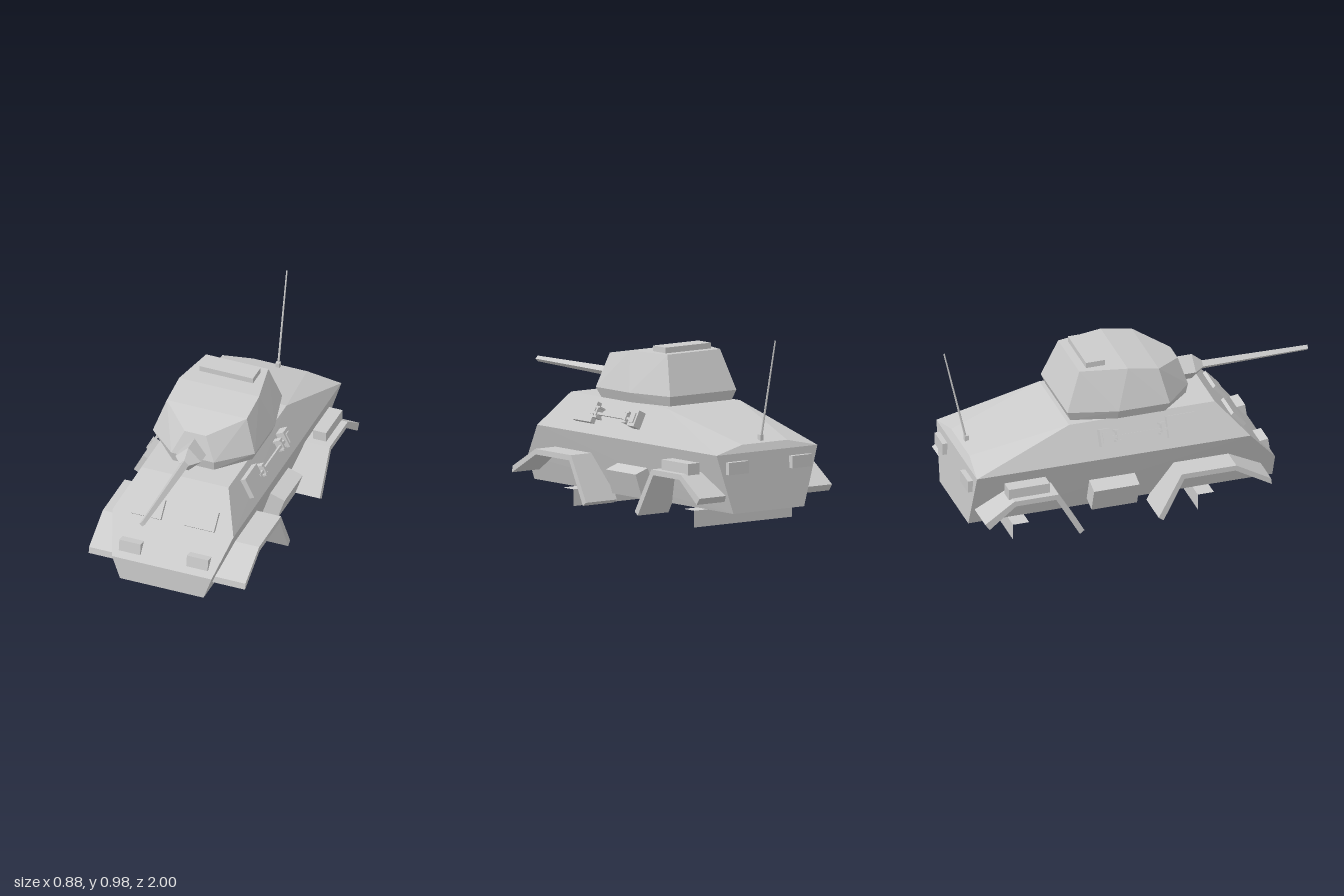
import * as THREE from 'three';
import { ConvexGeometry } from 'three/addons/geometries/ConvexGeometry.js';

const mat = new THREE.MeshStandardMaterial({ color: 0xcccccc, flatShading: true });

function add(parent, name, geometry, x = 0, y = 0, z = 0) {
  const mesh = new THREE.Mesh(geometry, mat);
  mesh.name = name;
  mesh.position.set(x, y, z);
  parent.add(mesh);
  return mesh;
}

const box = (w, h, d) => new THREE.BoxGeometry(w, h, d);

// Faceted armour shell from the corners of its left half, mirrored in x
function shell(corners) {
  const points = [];
  for (const [x, y, z] of corners) {
    points.push(new THREE.Vector3(x, y, z), new THREE.Vector3(-x, y, z));
  }
  return new ConvexGeometry(points);
}

// Four-sided tapering bar along z with its corners up, down, left and right
function diamondBar(rFront, rBack, z0, z1) {
  return new THREE.CylinderGeometry(rFront, rBack, z1 - z0, 4)
    .rotateX(Math.PI / 2).translate(0, 0, (z0 + z1) / 2);
}

// Bent fender plate: outline in (z, y), extruded across x
function fender(outline, width) {
  const shape = new THREE.Shape(outline.map(([z, y]) => new THREE.Vector2(z, y)));
  return new THREE.ExtrudeGeometry(shape, { depth: width, bevelEnabled: false })
    .rotateY(-Math.PI / 2).translate(width / 2, 0, 0);
}

export function createModel() {
  const model = new THREE.Group();
  model.name = 'armouredCar';

  // Hull
  add(model, 'hull', shell([
    [0.235, 0.087, 0.73], [0.28, 0.215, 0.73], [0.34, 0.398, 0.575], [0.245, 0.583, 0.41],
    [0.245, 0.583, -0.39], [0.15, 0.44, -0.905], [0.335, 0.4, -0.925], [0.235, 0.087, -0.94],
  ]));

  // Axle beams, open at the ends
  for (const [name, z] of [['frontAxle', 0.335], ['rearAxle', -0.68]]) {
    const beam = new THREE.CylinderGeometry(0.0625, 0.0625, 0.65, 4, 1, true)
      .rotateY(Math.PI / 4).rotateZ(Math.PI / 2);
    add(model, name, beam, 0, 0.044, z);
  }

  // Turret with ring and roof hatch
  const turret = new THREE.Group();
  turret.name = 'turret';
  model.add(turret);
  add(turret, 'turretRing', new THREE.CylinderGeometry(0.21, 0.21, 0.04, 8).rotateY(Math.PI / 8), 0, 0.59, -0.02);
  add(turret, 'turretShell', shell([
    [0.115, 0.587, 0.295], [0.265, 0.587, 0.13], [0.265, 0.587, -0.13], [0.205, 0.587, -0.37],
    [0.12, 0.64, 0.305], [0.287, 0.64, 0.15], [0.287, 0.64, -0.13], [0.22, 0.64, -0.39],
    [0.06, 0.77, 0.268], [0.225, 0.82, 0.11], [0.225, 0.85, -0.06], [0.175, 0.85, -0.31],
  ]));
  add(turret, 'roofHatch', box(0.3, 0.05, 0.105), 0, 0.855, -0.212);

  // Gun
  add(turret, 'mantlet', diamondBar(0.072, 0.072, 0.25, 0.365), 0, 0.67);
  add(turret, 'mantletTaper', diamondBar(0.026, 0.072, 0.365, 0.42), 0, 0.67);
  add(turret, 'gunBarrel', diamondBar(0.015, 0.025, 0.41, 1), 0, 0.67);

  // Antenna, leaning back
  add(model, 'antennaBase', box(0.022, 0.035, 0.022), 0, 0.46, -0.872);
  const rod = new THREE.CylinderGeometry(0.004, 0.006, 0.54, 6).translate(0, 0.27, 0);
  add(model, 'antennaRod', rod, 0, 0.457, -0.874).rotation.x = -0.225;

  const frontFender = [
    [0.66, 0.147], [0.655, 0.182], [0.465, 0.292], [0.165, 0.292],
    [0.038, 0.055], [0.065, 0.036], [0.18, 0.263], [0.46, 0.263],
  ];
  const rearFender = [
    [-0.89, 0.147], [-0.915, 0.182], [-0.755, 0.292], [-0.51, 0.292],
    [-0.37, 0.055], [-0.395, 0.036], [-0.525, 0.263], [-0.745, 0.263],
  ];

  for (const s of [1, -1]) {
    const side = new THREE.Group();
    side.name = s > 0 ? 'leftFittings' : 'rightFittings';
    model.add(side);

    // Fenders and stowage
    add(side, 'frontFender', fender(frontFender, 0.205), s * 0.3375);
    add(side, 'rearFender', fender(rearFender, 0.205), s * 0.3375);
    add(side, 'fenderBin', box(0.075, 0.06, 0.225), s * 0.366, 0.316, -0.66);
    add(side, 'sideBin', box(0.1, 0.137, 0.25), s * 0.3055, 0.186, -0.17).rotation.z = -s * 0.327;

    // Vision flaps
    add(side, 'frontVisor', box(0.17, 0.105, 0.04), s * 0.15, 0.438, 0.538).rotation.x = -0.728;
    add(side, 'lowerVisor', box(0.12, 0.062, 0.07), s * 0.19, 0.274, 0.672).rotation.x = -0.15;
    add(side, 'rearFlap', box(0.13, 0.065, 0.04), s * 0.21, 0.328, -0.935);

    // Hatch and clamped tool on the sloping upper side
    const kit = new THREE.Group();
    kit.name = 'sideKit';
    kit.position.set(s * 0.287, 0.5, 0);
    kit.rotation.z = s * 0.464;
    side.add(kit);
    add(kit, 'sideHatch', box(0.04, 0.115, 0.155), s * 0.01, 0, 0.207);
    add(kit, 'toolRod', box(0.014, 0.014, 0.36), s * 0.028, -0.005, -0.03);
    for (const z of [0.1, -0.145]) {
      add(kit, 'clampWeb', box(0.045, 0.05, 0.012), s * 0.02, 0, z);
      for (const y of [-0.027, 0.027]) {
        add(kit, 'clampFlange', box(0.045, 0.01, 0.032), s * 0.02, y, z);
      }
    }
    add(kit, 'toolHead', box(0.05, 0.09, 0.058), s * 0.022, 0, -0.215);
    add(kit, 'toolHeadCap', box(0.02, 0.055, 0.034), s * 0.044, 0, -0.215);
  }

  return model;
}
